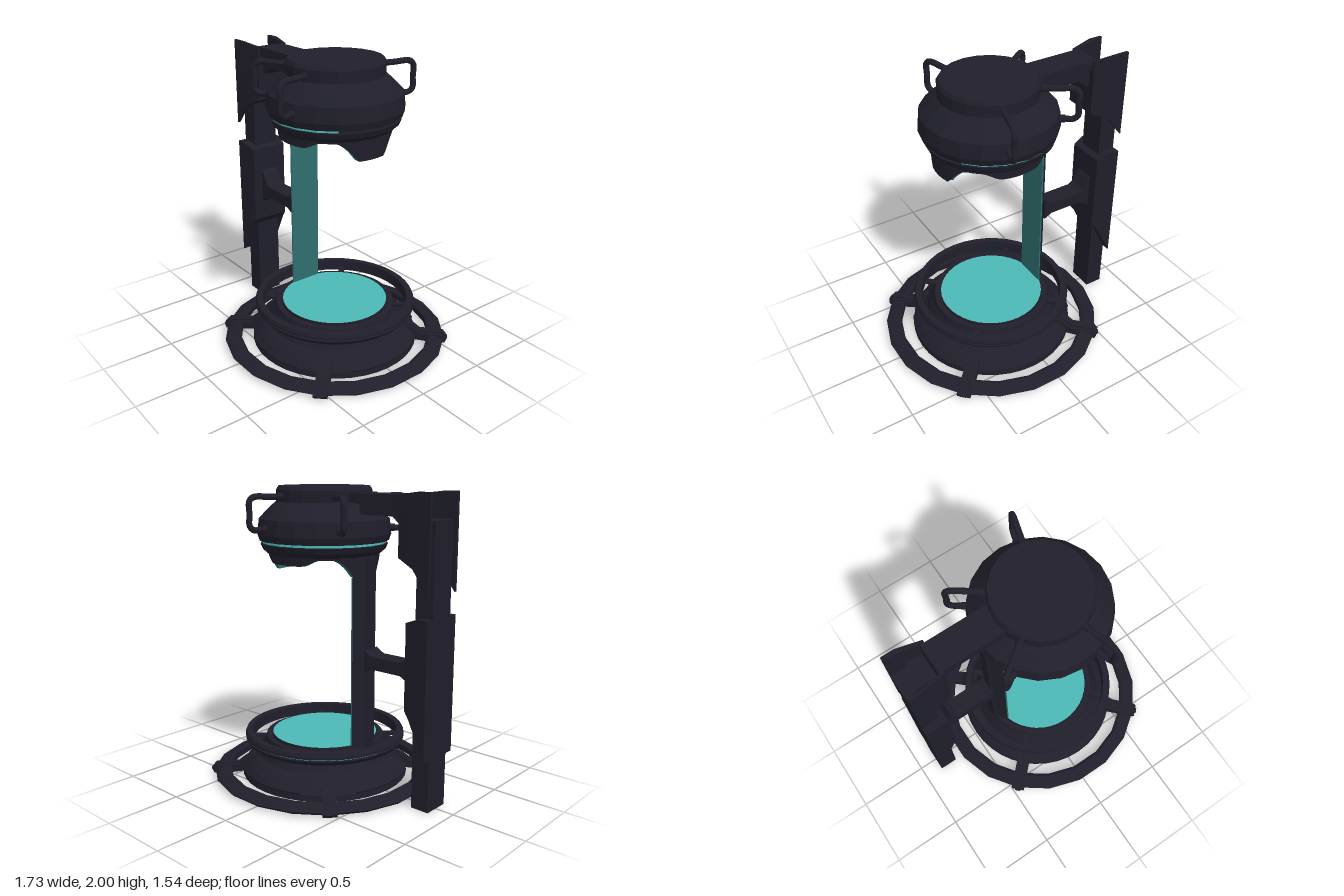
import * as THREE from 'three';

const V2 = (p) => p.map(([x, y]) => new THREE.Vector2(x, y));
const rad = THREE.MathUtils.degToRad;

export function createModel() {
  const root = new THREE.Group();
  root.name = 'scannerStand';
  const material = (name, color) => {
    const m = new THREE.MeshStandardMaterial({ color, flatShading: true, side: THREE.DoubleSide });
    m.name = name;
    return m;
  };
  const dark = material('dark metal', 0x1f1e2a);
  const teal = material('teal glow', 0x4cb8b5);
  const deepTeal = material('deep teal', 0x2f6f6e);

  // All round parts share one vertical axis
  const round = new THREE.Group();
  round.name = 'roundParts';
  round.position.x = 0.09;
  root.add(round);

  const add = (parent, name, geo, mat = dark) => {
    const m = new THREE.Mesh(geo, mat);
    m.name = name;
    parent.add(m);
    return m;
  };
  const lathe = (pts, seg = 20, start = 0, len = Math.PI * 2) =>
    new THREE.LatheGeometry(V2(pts), seg, start, len);
  // Side profile in x,y extruded across z, centred
  const slab = (pts, width) =>
    new THREE.ExtrudeGeometry(new THREE.Shape(V2(pts)), { depth: width, bevelEnabled: false })
      .translate(0, 0, -width / 2);
  const box = (x0, x1, y0, y1, z0, z1) =>
    new THREE.BoxGeometry(x1 - x0, y1 - y0, z1 - z0)
      .translate((x0 + x1) / 2, (y0 + y1) / 2, (z0 + z1) / 2);
  const reshape = (geo, rule) => {
    const p = geo.attributes.position;
    const v = new THREE.Vector3();
    for (let i = 0; i < p.count; i++) {
      v.fromBufferAttribute(p, i);
      rule(v);
      p.setXYZ(i, v.x, v.y, v.z);
    }
    geo.computeVertexNormals();
    return geo;
  };

  // Base: floor ring, hollow pedestal, raised panels
  add(round, 'floorRing', lathe([
    [0.67, 0.01], [0.76, 0.01], [0.78, 0.03], [0.76, 0.045], [0.69, 0.065], [0.67, 0.055], [0.67, 0.01],
  ], 20, rad(9)));
  add(round, 'pedestal', lathe([
    [0.55, 0.015], [0.58, 0.015], [0.576, 0.055], [0.54, 0.095], [0.495, 0.135], [0.47, 0.16],
    [0.45, 0.2], [0.42, 0.25], [0.41, 0.285], [0.36, 0.285],
  ], 40));
  for (let i = 0; i < 4; i++) {
    add(round, 'pedestalPanel', lathe([
      [0.576, 0.055], [0.582, 0.065], [0.55, 0.105], [0.505, 0.143], [0.47, 0.16],
    ], 6, i * Math.PI / 2 - rad(27), rad(54)));
  }
  add(round, 'platformDisc', new THREE.CircleGeometry(0.365, 40).rotateX(-Math.PI / 2).translate(0, 0.3, 0), teal);
  add(round, 'platformRim', lathe([[0.365, 0.28], [0.372, 0.28], [0.372, 0.302], [0.365, 0.302]], 40));

  // Ribbed spokes tying pedestal to floor ring
  for (let i = 0; i < 4; i++) {
    const spoke = new THREE.Group();
    spoke.name = 'spoke';
    spoke.rotation.y = rad(45 + 90 * i);
    round.add(spoke);
    for (const [z, w, lift] of [[0, 0.04, 0.01], [-0.033, 0.026, 0], [0.033, 0.026, 0]]) {
      add(spoke, 'spokeRib', slab([
        [0.47, 0.13 + lift], [0.51, 0.13 + lift], [0.56, 0.105 + lift], [0.61, 0.065 + lift],
        [0.77, 0.06 + lift], [0.795 + lift, 0.03], [0.785, 0.008], [0.66, 0.008], [0.56, 0.02],
      ], w)).position.z = z;
    }
    add(spoke, 'hoopBracket', box(0.4, 0.515, 0.255, 0.275, -0.02, 0.02));
  }

  // Hoop around the platform with a glowing line sunk in a groove
  add(round, 'platformHoop', lathe([
    [0.5, 0.25], [0.535, 0.247], [0.557, 0.275], [0.557, 0.28], [0.539, 0.28], [0.539, 0.29],
    [0.557, 0.29], [0.557, 0.305], [0.548, 0.325], [0.505, 0.325], [0.5, 0.25],
  ], 40));
  add(round, 'hoopLight', lathe([[0.541, 0.2805], [0.541, 0.2895]], 40), teal);

  // Head housing with a grooved light that leaves a gap on the +x side
  add(round, 'headHousing', lathe([
    [0.36, 1.545], [0.412, 1.59], [0.428, 1.627], [0.412, 1.628], [0.412, 1.645], [0.433, 1.646],
    [0.448, 1.69], [0.437, 1.79], [0.35, 1.875], [0.32, 1.9], [0.32, 1.975], [0.305, 2], [0, 2],
  ]));
  add(round, 'headLight', lathe([[0.415, 1.629], [0.415, 1.644]], 16, rad(-234), rad(288)), teal);

  // Skirt under the head: long tabs on the x axis, shallow lobes on the z axis
  const edge = (v) => {
    if (v.y > 1.5) return;
    const { smoothstep, lerp } = THREE.MathUtils;
    const tab = lerp(1.427, 1.55, Math.sqrt(smoothstep(Math.abs(v.z), 0.105, 0.24)));
    const lobe = lerp(1.505, 1.548, smoothstep(Math.abs(v.x), 0.12, 0.23));
    v.y = Math.min(tab, lobe);
  };
  add(round, 'headSkirt', reshape(lathe([[0.372, 1.4], [0.375, 1.57]], 96), edge));
  add(round, 'skirtLining', reshape(lathe([[0.372, 1.4], [0.347, 1.4], [0.345, 1.56]], 96), edge), deepTeal);
  add(round, 'headBowl', lathe([[0.345, 1.56], [0.3, 1.62], [0.27, 1.69], [0, 1.69]], 40), teal);

  // Four grab handles
  const path = new THREE.CatmullRomCurve3([
    [0.3, 1.935], [0.4, 1.935], [0.52, 1.935], [0.548, 1.91], [0.548, 1.83],
    [0.548, 1.755], [0.52, 1.73], [0.46, 1.73], [0.42, 1.73],
  ].map(([r, y]) => new THREE.Vector3(r, y, 0)), false, 'centripetal');
  for (const a of [74, 145, -74, -145]) {
    const handle = new THREE.Group();
    handle.name = 'handle';
    handle.rotation.y = rad(a);
    round.add(handle);
    add(handle, 'handleTube', new THREE.TubeGeometry(path, 36, 0.02, 8));
    for (const [r, y] of [[0.33, 1.935], [0.45, 1.73]]) {
      add(handle, 'handleCollar', new THREE.CylinderGeometry(0.025, 0.025, 0.04, 8)
        .rotateZ(Math.PI / 2).translate(r, y, 0));
    }
  }

  // Column: faceted back narrowing away from the light strip
  const section = [[-0.26, 0.113], [-0.275, 0.1], [-0.31, 0.045], [-0.33, 0.035]];
  const outline = [...section, ...section.map(([x, z]) => [x, -z]).reverse()];
  add(root, 'columnBack', new THREE.ExtrudeGeometry(new THREE.Shape(V2(outline)), { depth: 1.34, bevelEnabled: false })
    .rotateX(-Math.PI / 2).translate(0, 0.22, 0));
  add(root, 'columnLight', box(-0.26, -0.25, 0.22, 1.43, -0.113, 0.113), deepTeal);

  // Mast: post, open-backed upper housing and middle block
  add(root, 'mastPost', box(-0.868, -0.74, 0, 1.82, -0.09, 0.09));
  const taper = (v) => {
    if (v.x > -0.77) v.z *= THREE.MathUtils.mapLinear(v.x, -0.78, -0.62, 1, 0.78);
  };
  for (const s of [-1, 1]) {
    add(root, 'mastSidePlate', reshape(slab([
      [-0.868, 1.985], [-0.868, 1.38], [-0.745, 1.535], [-0.62, 1.59], [-0.62, 1.965], [-0.78, 1.985],
    ], 0.02).translate(0, 0, s * 0.14), taper));
  }
  add(root, 'mastFrontPlate', reshape(slab([
    [-0.76, 1.52], [-0.745, 1.535], [-0.62, 1.59], [-0.62, 1.963], [-0.65, 1.963], [-0.65, 1.8], [-0.76, 1.8],
  ], 0.28), taper));
  add(root, 'mastMiddleBlock', reshape(slab([
    [-0.868, 1.24], [-0.868, 0.35], [-0.74, 0.6], [-0.7, 0.65], [-0.7, 1.205], [-0.78, 1.235],
  ], 0.3), taper));

  // Arms from the mast to the head and column
  add(root, 'upperArm', slab([[-0.63, 1.9], [-0.2, 1.9], [-0.2, 1.962], [-0.63, 1.962]], 0.2));
  add(root, 'upperArmBrace', slab([
    [-0.63, 1.77], [-0.6, 1.78], [-0.54, 1.83], [-0.28, 1.83], [-0.28, 1.9], [-0.63, 1.9],
  ], 0.15));
  add(root, 'lowerArm', slab([
    [-0.71, 0.78], [-0.67, 0.81], [-0.61, 0.84], [-0.38, 0.84], [-0.32, 0.81], [-0.32, 0.96],
    [-0.345, 0.945], [-0.38, 0.925], [-0.61, 0.925], [-0.65, 0.95], [-0.68, 1.01], [-0.71, 1.05],
  ], 0.13));

  return root;
}
